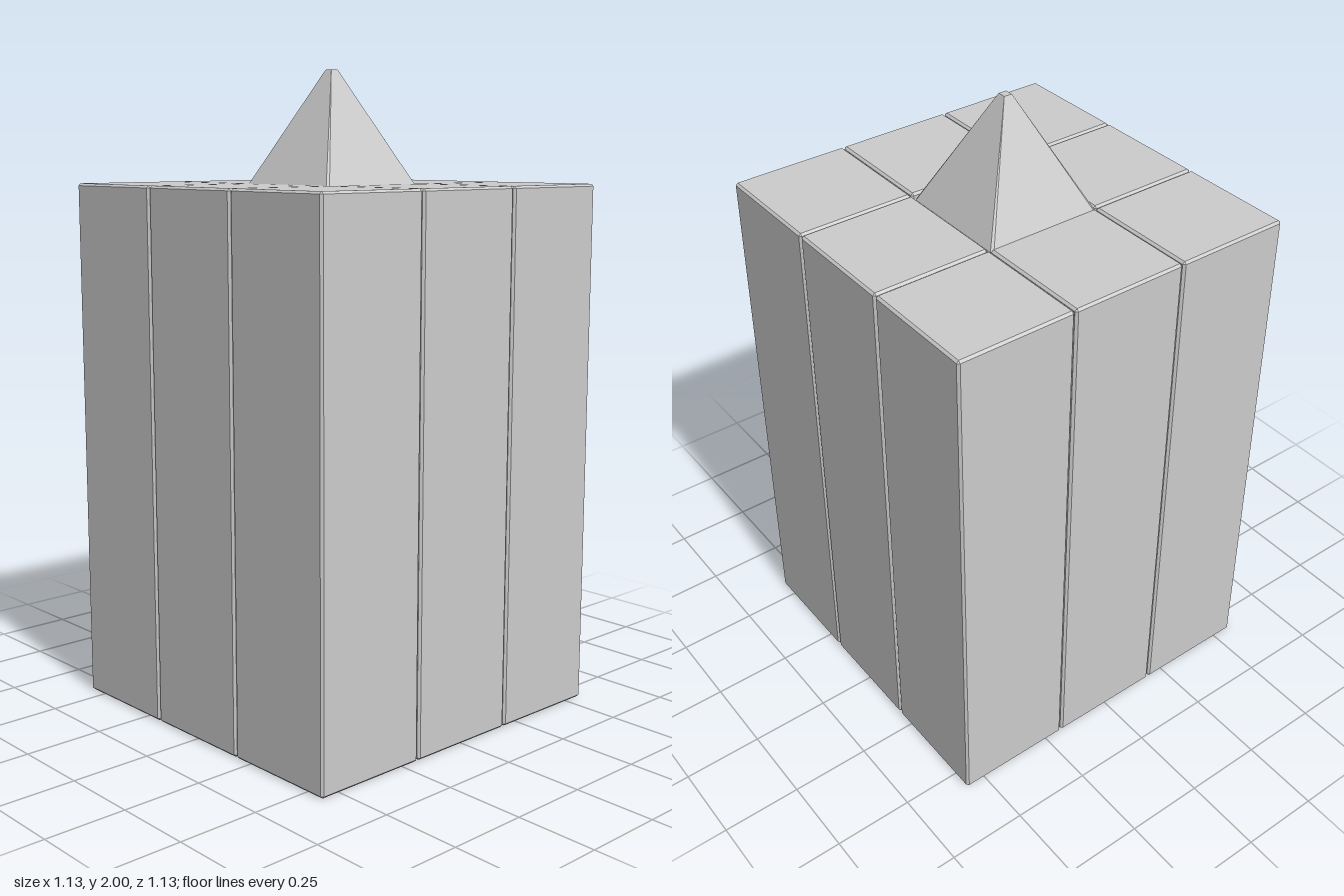
import * as THREE from 'three';
import { ConvexGeometry } from 'three/addons/geometries/ConvexGeometry.js';

const PITCH = 0.379, HALF = 0.188, BEVEL = 0.007, HEIGHT = 1.655;

// Chamfered square column; its top face can be shrunk and raised into a spire
function columnGeometry(topHalf = HALF - BEVEL, topY = HEIGHT) {
  const points = [];
  const inner = HALF - BEVEL;
  for (const sx of [-1, 1]) for (const sz of [-1, 1]) {
    points.push(new THREE.Vector3(sx * inner, 0, sz * inner));
    for (const y of [BEVEL, HEIGHT - BEVEL]) {
      points.push(new THREE.Vector3(sx * HALF, y, sz * inner));
      points.push(new THREE.Vector3(sx * inner, y, sz * HALF));
    }
    points.push(new THREE.Vector3(sx * topHalf, topY, sz * topHalf));
  }
  return new ConvexGeometry(points);
}

export function createModel() {
  const model = new THREE.Group();
  model.name = 'columnBlock';
  const material = new THREE.MeshStandardMaterial({ color: 0xcccccc, flatShading: true });

  // Ring of eight columns around the centre
  const outer = columnGeometry();
  for (let row = -1; row <= 1; row++) for (let col = -1; col <= 1; col++) {
    if (row === 0 && col === 0) continue;
    const column = new THREE.Mesh(outer, material);
    column.name = `outerColumn_${row + 2}_${col + 2}`;
    column.position.set(col * PITCH, 0, row * PITCH);
    model.add(column);
  }

  // Central column with a pointed top, set slightly back
  const spire = new THREE.Mesh(columnGeometry(0.013, 2), material);
  spire.name = 'centreSpireColumn';
  spire.position.z = -0.012;
  model.add(spire);

  return model;
}
